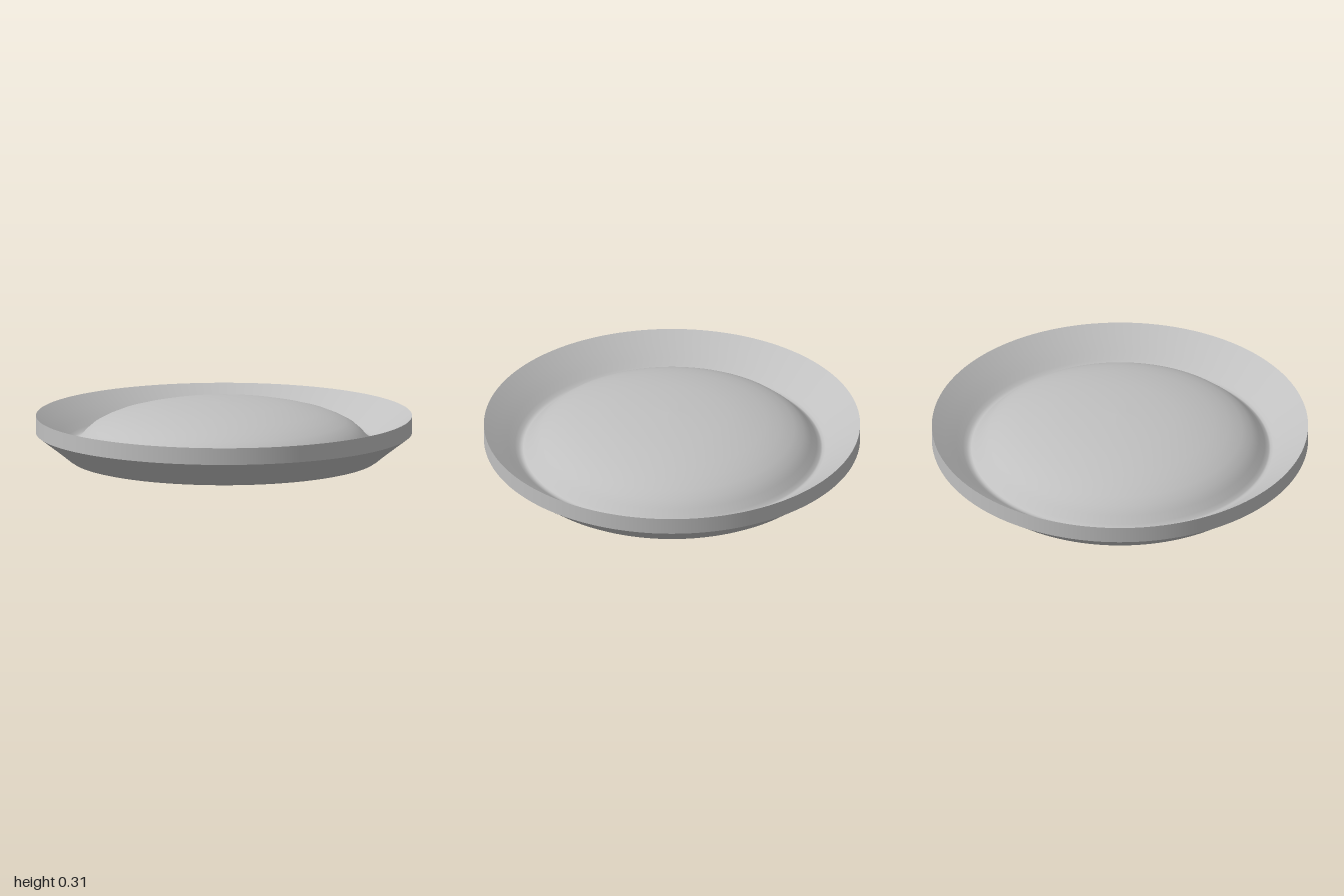
import * as THREE from 'three';

const THICKNESS = 0.09;

// Upper surface from the dome's crown, down into the trough
const DOME = [
  [0, 0.31], [0.1, 0.308], [0.2, 0.302], [0.3, 0.293], [0.4, 0.279], [0.5, 0.257],
  [0.58, 0.235], [0.65, 0.206], [0.7, 0.178], [0.74, 0.143], [0.77, 0.108], [0.79, 0.093],
];
// Trough floor and the sloping wall out to the lip
const WALL = [[0.8, 0.09], [0.815, 0.094], [0.835, 0.107], [0.87, 0.136], [0.93, 0.182], [1, 0.235]];

export function createModel() {
  const group = new THREE.Group();
  const grey = new THREE.MeshStandardMaterial({ color: 0xc0c0c0 });
  grey.name = 'plain grey';

  const turn = (name, points) => {
    const profile = points.map(([r, y]) => new THREE.Vector2(r, y));
    const mesh = new THREE.Mesh(new THREE.LatheGeometry(profile, 128), grey);
    mesh.name = name;
    group.add(mesh);
  };

  const upper = [...DOME, ...WALL];
  const lower = upper.map(([r, y]) => [r, y - THICKNESS]);

  // Separate lathes keep the two lip edges sharp
  turn('underside', lower);
  turn('rimBand', [[1, 0.145], [1, 0.235]]);
  turn('domedUpperSurface', upper.reverse());
  return group;
}
